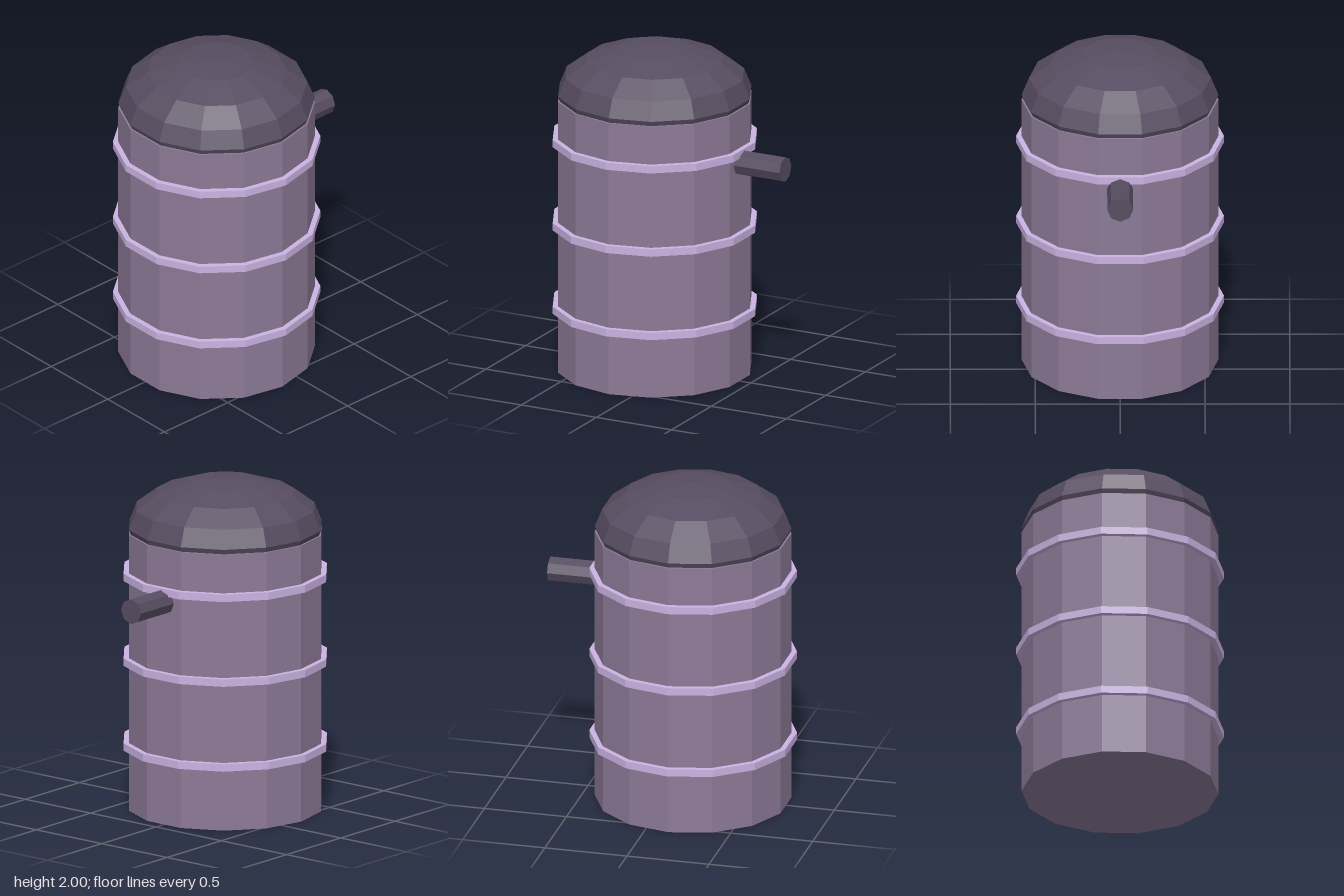
import * as THREE from 'three';

const SIDES = 14;
const RADIUS = 0.58;

export function createModel() {
  const group = new THREE.Group();
  group.name = 'barrelTank';

  const material = (name, color) => {
    const m = new THREE.MeshStandardMaterial({ color });
    m.name = name;
    return m;
  };
  const shellMauve = material('shellMauve', 0x8c7a97);
  const darkPlum = material('darkPlum', 0x574d61);
  const paleLilac = material('paleLilac', 0xcab3e2);

  const add = (parent, name, geometry, mat, x, y) => {
    const mesh = new THREE.Mesh(geometry, mat);
    mesh.name = name;
    mesh.position.set(x, y, 0);
    parent.add(mesh);
    return mesh;
  };
  // one face normal per facet
  const faceted = (geometry) => {
    const g = geometry.toNonIndexed();
    g.computeVertexNormals();
    return g;
  };

  // Everything round shares the tank's off-centre axis
  const tank = new THREE.Group();
  tank.name = 'tank';
  tank.position.x = -0.14;
  group.add(tank);

  // Fourteen-sided shell
  add(tank, 'shell', faceted(new THREE.CylinderGeometry(RADIUS, RADIUS, 1.68, SIDES)), shellMauve, 0, 0.84);

  // Flattened dome, its lower rim tucked inside the shell
  const dome = new THREE.SphereGeometry(RADIUS, SIDES, 5, 0, Math.PI * 2, 0, Math.PI * 0.625);
  dome.rotateY(Math.PI / 2);
  dome.scale(1, 0.5, 1);
  add(tank, 'domeLid', faceted(dome), darkPlum, 0, 1.71);

  // Three square-section hoops
  const h = 0.0225;
  const section = [[0.57, -h], [0.612, -h], [0.612, h], [0.57, h]].map(([r, y]) => new THREE.Vector2(r, y));
  const hoop = faceted(new THREE.LatheGeometry(section, SIDES));
  [0.39, 0.907, 1.423].forEach((y, i) => add(tank, `hoop${i + 1}`, hoop, paleLilac, 0, y));

  // Outlet pipe on the left side
  const pipe = new THREE.CylinderGeometry(0.076, 0.076, 0.38, 8);
  pipe.rotateZ(-Math.PI / 2);
  add(group, 'outletPipe', faceted(pipe), darkPlum, 0.54, 1.358);

  return group;
}
